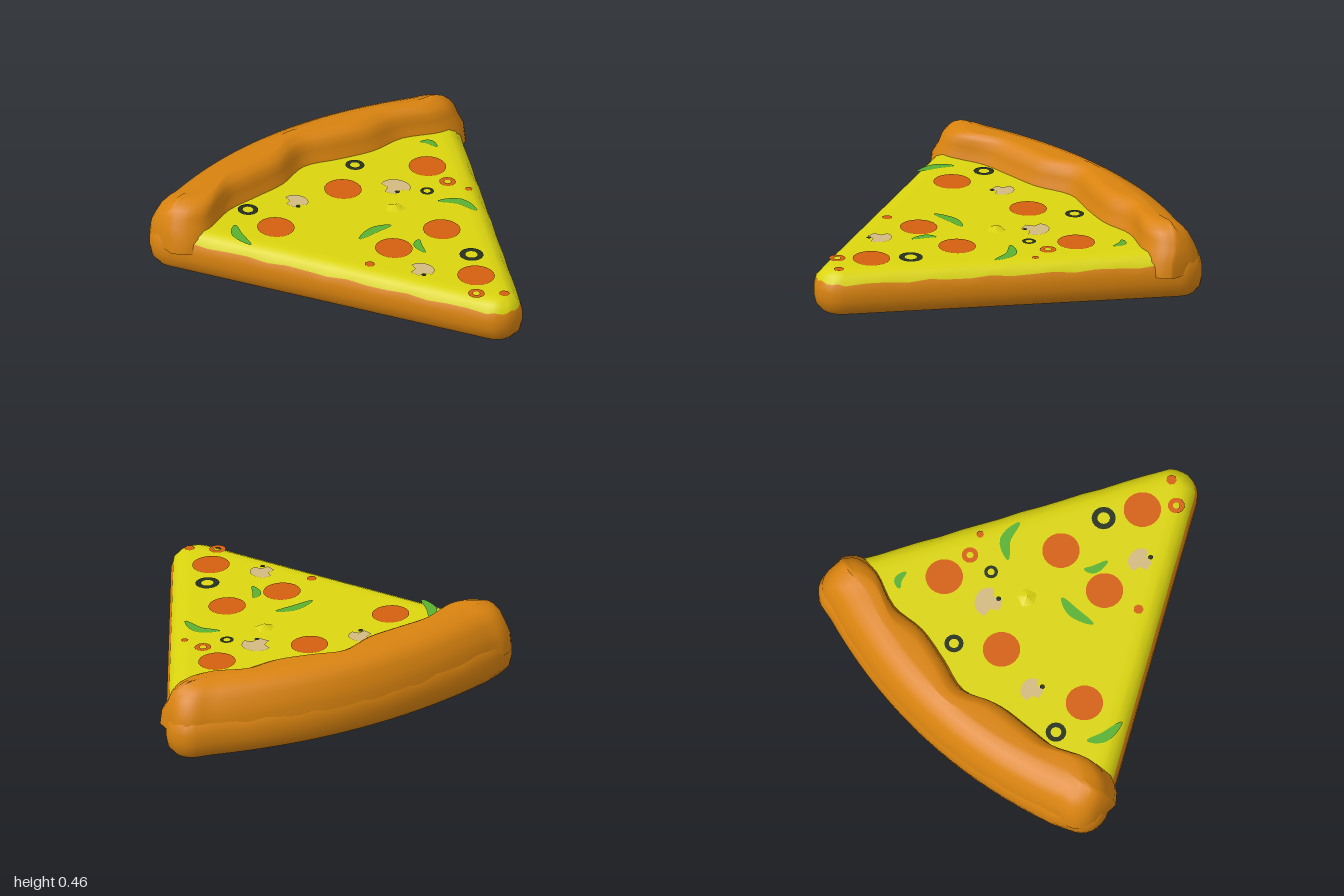
import * as THREE from 'three';

const mat = (name, color) => {
  const m = new THREE.MeshStandardMaterial({ color });
  m.name = name;
  return m;
};

// Gentle tilt shared by every part
function tilt(geo) {
  const p = geo.attributes.position;
  for (let i = 0; i < p.count; i++) {
    const y = p.getY(i);
    p.setY(i, y + 0.035 * p.getZ(i) - 0.012 * p.getX(i) * (y / 0.3));
  }
  return geo;
}

// Skin a stack of closed rings; isTop(ring, x) picks the second material
function loft(rings, isTop, addCaps) {
  const n = rings[0].length, verts = rings.flat(), lower = [], upper = [];
  for (let r = 0; r < rings.length - 1; r++) {
    for (let i = 0; i < n; i++) {
      const j = (i + 1) % n, a = r * n + i, b = r * n + j;
      const x = (verts[a][0] + verts[b][0]) / 2;
      (isTop(r, x) ? upper : lower).push(b, a, a + n, b, a + n, b + n);
    }
  }
  addCaps(verts, n, lower, upper);
  const geo = new THREE.BufferGeometry();
  geo.setAttribute('position', new THREE.Float32BufferAttribute(verts.flat(), 3));
  geo.setIndex([...lower, ...upper]);
  geo.addGroup(0, lower.length, 0);
  geo.addGroup(lower.length, upper.length, 1);
  tilt(geo).computeVertexNormals();
  return geo;
}

// Rounded wedge outline: core points with outward normals
function wedgeOutline() {
  const A = [-0.72, -0.86], B = [-0.70, 0.86], C = [0.85, -0.03], out = [];
  const side = (p, q, ang) => {
    for (let i = 1; i < 16; i++) {
      const t = i / 16;
      out.push([p[0] + (q[0] - p[0]) * t, p[1] + (q[1] - p[1]) * t, ang]);
    }
  };
  const corner = (c, a0, a1) => {
    for (let i = 0; i <= 8; i++) out.push([c[0], c[1], a0 + (a1 - a0) * i / 8]);
  };
  const back = Math.atan2(-0.884, 0.467), front = Math.atan2(0.867, 0.498);
  const arc = 0.32;
  corner(A, -Math.PI + arc, back);
  side(A, C, back);
  corner(C, back, front);
  side(C, B, front);
  corner(B, front, Math.PI - arc);
  for (let i = 1; i < 20; i++) {
    const z = 0.86 - 1.72 * i / 20, s = z / 0.86;
    out.push([-0.86 + 0.15 * s * s, z, Math.PI - arc * s]);
  }
  return out;
}

// Dough base with the cheese layer on top
function sliceGeometry() {
  const outline = wedgeOutline();
  const profile = [[0.01, 0.03], [0.05, 0.03], [0.1, 0.045], [0.13, 0.08], [0.14, 0.13],
    [0.14, 0.18], [0.127, 0.225], [0.1, 0.26], [0.06, 0.28], [0.01, 0.28]];
  const rings = profile.map(([r, y], k) => outline.map(([x, z, a], i) =>
    [x + r * Math.cos(a), y + (k === 6 ? 0.007 * Math.sin(i * 2.3) : 0), z + r * Math.sin(a)]));
  return loft(rings, (r, x) => r >= 6 && x > -0.6, (verts, n, lower, upper) => {
    const last = verts.length - n, bottom = verts.length, top = bottom + 1;
    verts.push([-0.25, 0.03, 0], [-0.25, 0.28, 0]);
    for (let i = 0; i < n; i++) {
      const j = (i + 1) % n;
      lower.push(bottom, i, j);
      upper.push(top, last + j, last + i);
    }
  });
}

// Raised crust with a wavy inner edge
function crustGeometry() {
  const wave = new THREE.SplineCurve([[-0.99, -0.65], [-0.93, -0.59], [-0.8, -0.58], [-0.6, -0.65],
    [-0.4, -0.64], [-0.2, -0.68], [0, -0.73], [0.2, -0.66], [0.4, -0.64], [0.6, -0.62],
    [0.8, -0.54], [0.92, -0.56], [0.99, -0.63]].map(p => new THREE.Vector2(...p)));
  const N = 48;
  const stations = wave.getPoints(N).map(({ x: z, y: inner }) => {
    const e = Math.abs(z), s = z / 0.86;
    const outer = e < 0.86 ? -1 + 0.15 * s * s
      : -0.72 - Math.sqrt(Math.max(0, 0.0172 - (e - 0.86) ** 2));
    return { z, inner, outer };
  });
  // outer inset, inner inset, end inset, height
  const profile = [[0.005, -0.05, 0, 0.17], [0.012, -0.04, 0.005, 0.25], [0.03, -0.01, 0.02, 0.3],
    [0.05, 0, 0.035, 0.345], [0.075, 0.015, 0.06, 0.38], [0.11, 0.035, 0.085, 0.4],
    [0.15, 0.065, 0.12, 0.415], [0.17, 0.09, 0.15, 0.418]];
  const rings = profile.map(([dO, dI, dE, y]) => {
    const inside = [], outside = [];
    for (const { z, inner, outer } of stations) {
      const k = Math.min(1, (inner - outer) * 0.85 / Math.max(0.01, dO + dI));
      const zz = z * (0.99 - dE) / 0.99;
      inside.push([inner - dI * k, y, zz]);
      outside.push([outer + dO * k, y, zz]);
    }
    return [...inside, ...outside.reverse()];
  });
  return loft(rings, () => false, (verts, n, lower) => {
    const o = verts.length - n;
    for (let i = 0; i < N; i++) {
      const a = o + i, b = a + 1, d = o + n - 1 - i, c = d - 1;
      lower.push(a, d, c, a, c, b);
    }
  });
}

export function createModel() {
  const group = new THREE.Group();
  const dough = mat('dough', 0xd9830f), cheese = mat('cheese', 0xdbd50f);
  const red = mat('pepperoni', 0xd4600f), green = mat('pepper green', 0x5ab032);
  const black = mat('olive black', 0x26301f), beige = mat('mushroom beige', 0xd3ba80);

  const add = (name, geo, material) => {
    const m = new THREE.Mesh(geo, material);
    m.name = name;
    group.add(m);
  };
  // Flat piece lying on the cheese
  const lay = (name, geo, material, x, z, y = 0.285) =>
    add(name, tilt(geo.rotateX(-Math.PI / 2).translate(x, y, z)), material);

  add('sliceBase', sliceGeometry(), [dough, cheese]);
  add('crust', crustGeometry(), dough);
  add('cheeseBump', tilt(new THREE.ConeGeometry(0.06, 0.025, 5).translate(-0.11, 0.29, -0.13)), cheese);

  // Pepperoni discs and small scraps
  for (const [x, z] of [[-0.33, -0.52], [-0.41, -0.02], [0.2, -0.19], [0.2, 0.13], [0.66, -0.05], [-0.32, 0.5]])
    lay('pepperoni', new THREE.CircleGeometry(0.098, 20), red, x, z);
  for (const [x, z, r] of [[-0.03, -0.555, 0.02], [0.25, 0.33, 0.027], [0.885, -0.06, 0.028]])
    lay('pepperoniScrap', new THREE.CircleGeometry(r, 7), red, x, z);
  for (const [x, z] of [[-0.15, -0.51], [0.8, 0.06]])
    lay('pepperoniRing', new THREE.RingGeometry(0.018, 0.044, 12), red, x, z);

  // Olive rings
  for (const [x, z, r] of [[-0.56, -0.22, 0.05], [0.485, -0.16, 0.063], [-0.54, 0.51, 0.054], [-0.14, -0.365, 0.036]])
    lay('oliveRing', new THREE.RingGeometry(r * 0.52, r, 16), black, x, z);

  // Mushroom slices: half-round cap with a stem, plus a dark speck
  for (const [x, z, r, turn] of [[-0.27, -0.26, 0.08, 0.5], [0.45, 0.14, 0.068, 0.2], [-0.46, 0.25, 0.065, 0.3]]) {
    const s = new THREE.Shape();
    s.moveTo(-r, -0.1 * r);
    s.quadraticCurveTo(-0.95 * r, 0.8 * r, 0, 0.85 * r);
    s.quadraticCurveTo(0.95 * r, 0.8 * r, r, -0.1 * r);
    s.lineTo(0.45 * r, -0.3 * r);
    s.lineTo(0.4 * r, -0.9 * r);
    s.lineTo(-0.4 * r, -0.9 * r);
    s.lineTo(-0.45 * r, -0.3 * r);
    lay('mushroom', new THREE.ShapeGeometry(s).rotateZ(turn), beige, x, z);
    lay('mushroomSpeck', new THREE.CircleGeometry(0.014, 6), black, x + 0.05, z + 0.03, 0.288);
  }

  // Curved green pepper strips, tapered at both ends
  const strips = [[-0.54, -0.64, -0.51, -0.68, -0.45, -0.68], [-0.03, -0.35, 0.04, -0.44, 0.16, -0.455],
    [0.015, 0, 0, 0.1, 0.025, 0.22], [0.21, -0.03, 0.25, 0.01, 0.33, 0.025], [-0.46, 0.66, -0.38, 0.71, -0.26, 0.715]];
  strips.forEach(([x0, z0, x1, z1, x2, z2]) => {
    const curve = new THREE.SplineCurve([[x0, -z0], [x1, -z1], [x2, -z2]].map(p => new THREE.Vector2(...p)));
    const w = Math.min(0.028, 0.012 + 0.075 * curve.getLength()), left = [], right = [];
    for (let i = 0; i <= 10; i++) {
      const p = curve.getPoint(i / 10), t = curve.getTangent(i / 10);
      const h = w * (0.2 + 0.8 * Math.sin(Math.PI * i / 10));
      left.push(new THREE.Vector2(p.x - t.y * h, p.y + t.x * h));
      right.unshift(new THREE.Vector2(p.x + t.y * h, p.y - t.x * h));
    }
    lay('pepperStrip', new THREE.ShapeGeometry(new THREE.Shape([...left, ...right])), green, 0, 0);
  });

  return group;
}
